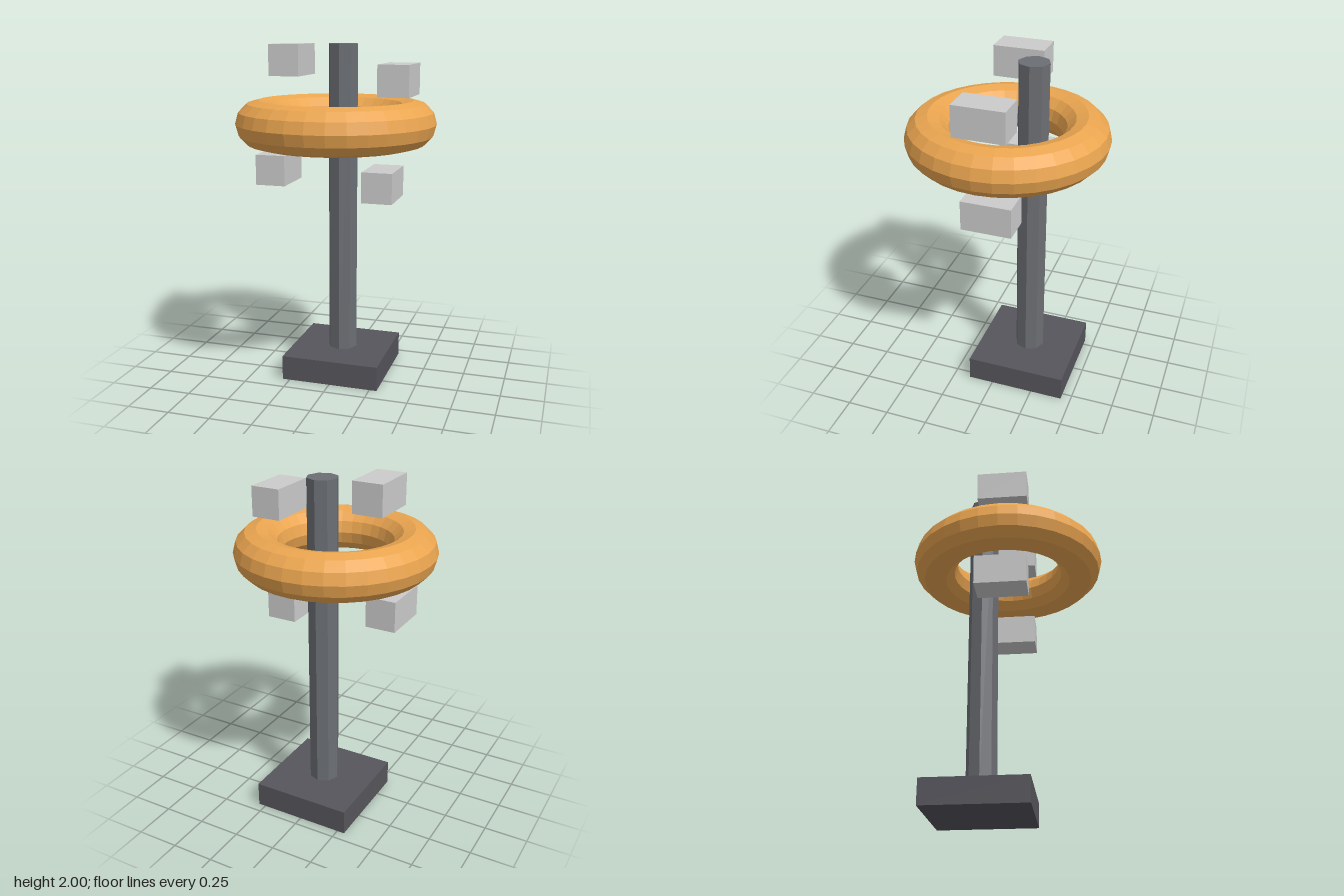
import * as THREE from 'three';

export function createModel() {
  const model = new THREE.Group();
  model.name = 'ringStand';

  const add = (name, geometry, color, x, y, z) => {
    const material = new THREE.MeshStandardMaterial({ color, flatShading: true });
    const mesh = new THREE.Mesh(geometry, material);
    mesh.name = name;
    mesh.position.set(x, y, z);
    model.add(mesh);
    return mesh;
  };

  // Square foot and octagonal post, set back from the ring's centre
  const backZ = -0.147;
  add('base', new THREE.BoxGeometry(0.589, 0.147, 0.589), 0x55555c, 0, 0.0735, backZ);
  add('post', new THREE.CylinderGeometry(0.088, 0.088, 1.853, 8), 0x6b6e73, 0, 1.0735, backZ);

  // Horizontal ring around the post
  const ring = add('ring', new THREE.TorusGeometry(0.442, 0.1325, 12, 32), 0xeaa550, 0, 1.557, 0);
  ring.rotation.x = Math.PI / 2;

  // Floating blocks above and below the ring
  const blocks = [
    ['upperRightBlock', -0.263, 1.912],
    ['upperLeftBlock', 0.365, 1.808],
    ['lowerRightBlock', -0.353, 1.286],
    ['lowerLeftBlock', 0.28, 1.216],
  ];
  for (const [name, x, y] of blocks) {
    add(name, new THREE.BoxGeometry(0.176, 0.176, 0.294), 0xcccccc, x, y, 0);
  }

  return model;
}
